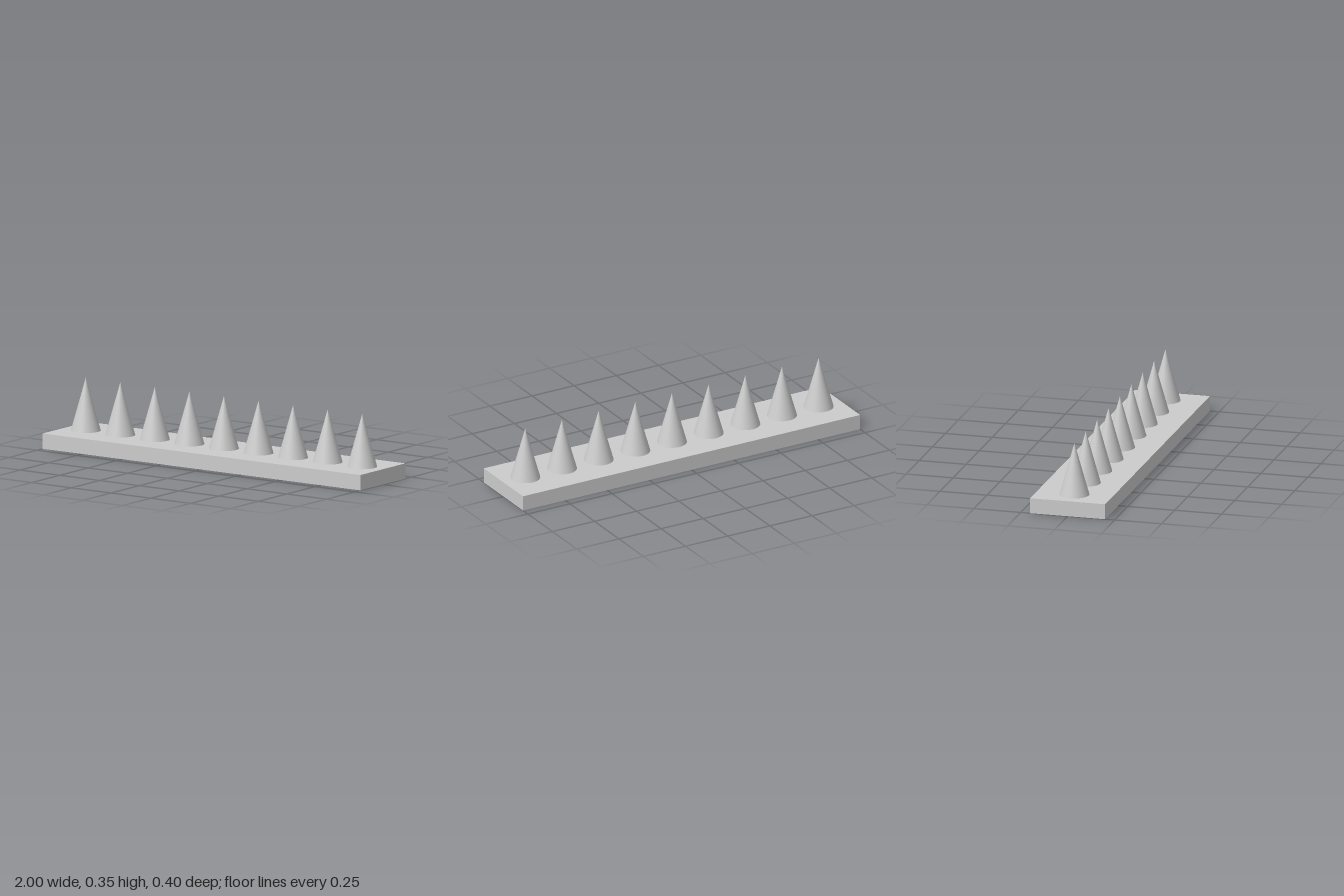
import * as THREE from 'three';

export function createModel() {
  const group = new THREE.Group();
  const material = new THREE.MeshStandardMaterial({ color: 0xcccccc });

  // Flat base plank
  const baseHeight = 0.08;
  const base = new THREE.Mesh(new THREE.BoxGeometry(2, baseHeight, 0.4), material);
  base.name = 'base';
  base.position.y = baseHeight / 2;
  group.add(base);

  // Row of evenly spaced spikes standing on the base
  const count = 9, spacing = 0.2175, spikeHeight = 0.275;
  const spikeGeometry = new THREE.ConeGeometry(0.077, spikeHeight, 32);
  for (let i = 0; i < count; i++) {
    const spike = new THREE.Mesh(spikeGeometry, material);
    spike.name = `spike${i + 1}`;
    spike.position.set((i - (count - 1) / 2) * spacing, baseHeight + spikeHeight / 2, 0);
    group.add(spike);
  }

  return group;
}
